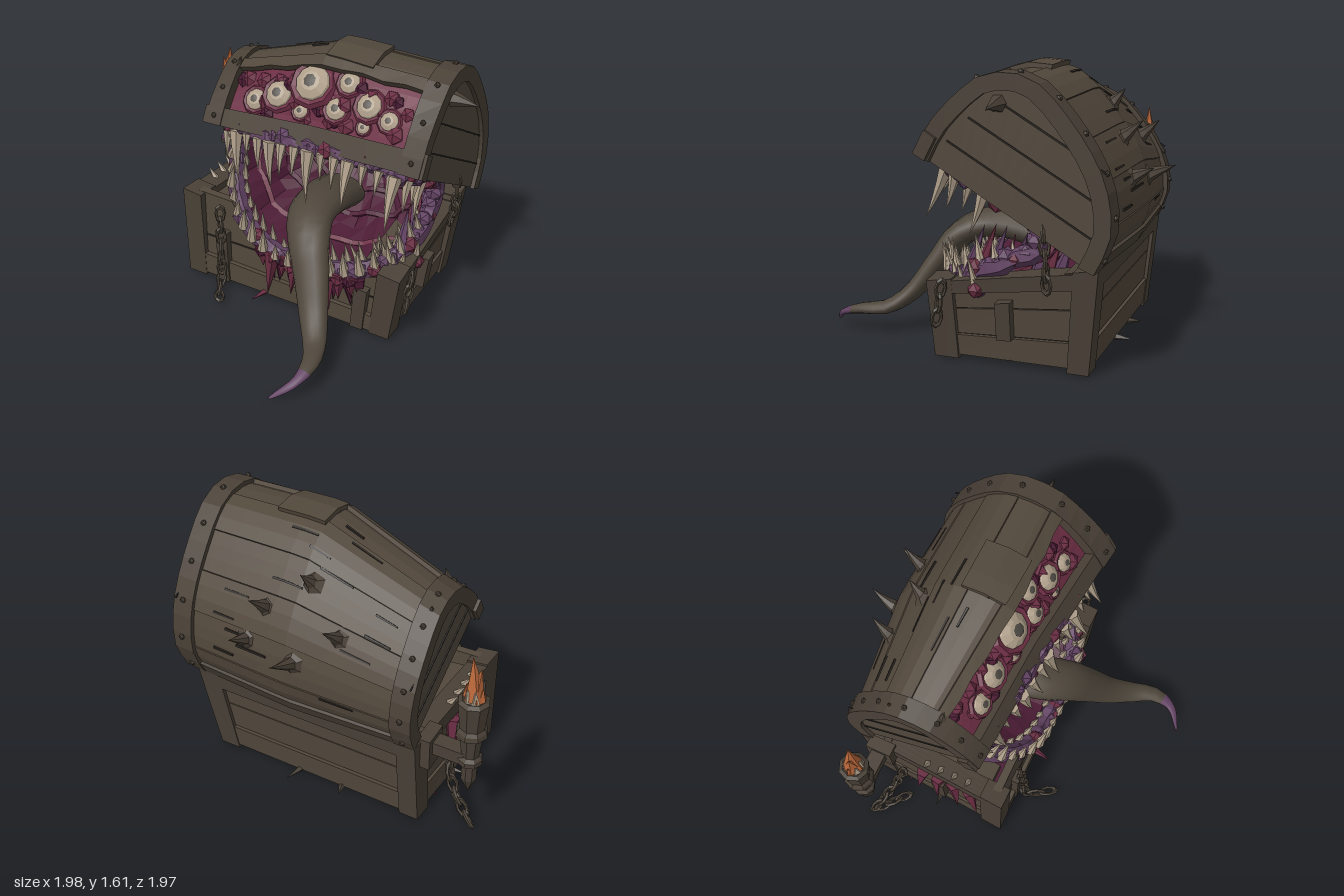
import * as THREE from 'three';

const V = (x, y, z) => new THREE.Vector3(x, y, z);
const { clamp, lerp, smoothstep } = THREE.MathUtils;
const UP = V(0, 1, 0);
const curve = (pts, closed = false) => new THREE.CatmullRomCurve3(pts.map(p => V(...p)), closed);

export function createModel() {
  const root = new THREE.Group();
  root.name = 'monsterChest';
  const mat = (name, color, side = THREE.FrontSide) => Object.assign(new THREE.MeshStandardMaterial({ color, side }), { name });
  const wood = mat('wood', 0x52483c), trim = mat('darkTrim', 0x4a4137), seam = mat('seam', 0x2a2521);
  const flesh = mat('flesh', 0x6c2e44, THREE.DoubleSide), throat = mat('throat', 0x4c1c35, THREE.DoubleSide);
  const gum = mat('gum', 0x624263), bone = mat('bone', 0xb0a08b), pupil = mat('pupil', 0x504b45);
  const fire = mat('flame', 0xb9673a), tongueMat = mat('tongue', 0x4f473c);
  let seed = 11;
  const rnd = () => (seed = (seed * 16807) % 2147483647) / 2147483647;

  function add(name, geo, m, smooth = false) {
    const g = smooth || !geo.index ? geo : geo.toNonIndexed();
    g.computeVertexNormals();
    const mesh = new THREE.Mesh(g, m);
    mesh.name = name;
    root.add(mesh);
    return mesh;
  }
  // move every vertex of a geometry by a rule
  function warp(geo, fn) {
    const p = geo.attributes.position, v = V(0, 0, 0);
    for (let i = 0; i < p.count; i++) p.setXYZ(i, ...fn(v.fromBufferAttribute(p, i)).toArray());
    return geo;
  }
  function spike(name, base, dir, len, r, m, sides = 5, bend = 0) {
    const s = add(name, warp(new THREE.ConeGeometry(r, len, sides, 3).translate(0, len / 2, 0),
      v => V(v.x + bend * len * (v.y / len) ** 2, v.y, v.z)), m);
    s.position.copy(base);
    s.quaternion.setFromUnitVectors(UP, dir.clone().normalize());
  }
  const lump = (name, pos, r, m) => add(name, new THREE.IcosahedronGeometry(r, 0), m).position.copy(pos);

  // ---- chest base: boxes flared and lifted by one rule ----
  const flare = v => {
    const f = v.y / 0.55, fz = clamp((v.z + 0.7) / 0.9, 0, 1), dz = v.z + 0.24;
    return V(v.x * (v.x > 0 ? 1 + 0.1 * f : lerp(0.9, 1, fz)), v.y * lerp(1.26, 1.12 - 0.26 * v.x, fz),
      -0.24 + dz * (1 + (dz < 0 ? 0.16 : 0.05) * f));
  };
  const baseBox = (name, x0, x1, y0, y1, z0, z1, m = wood) =>
    add(name, warp(new THREE.BoxGeometry(x1 - x0, y1 - y0, z1 - z0, 4, 1, 2)
      .translate((x0 + x1) / 2, (y0 + y1) / 2, (z0 + z1) / 2), flare), m);
  baseBox('floor', -0.68, 0.68, 0.015, 0.05, -0.64, 0.17, trim);
  baseBox('innerFlesh', -0.64, 0.64, 0.05, 0.28, -0.6, 0.12, throat);
  const rows = [[0.02, 0.14], [0.145, 0.29], [0.295, 0.41]];
  rows.forEach(([a, b], i) => baseBox('backPlank', -0.66, 0.66, a, b, i ? -0.66 : -0.675, -0.6));
  baseBox('backRim', -0.7, 0.7, 0.39, 0.47, -0.68, -0.52, trim);
  for (const s of [-1, 1]) {
    const sideBox = (name, a, b, ...rest) => baseBox(name, Math.min(s * a, s * b), Math.max(s * a, s * b), ...rest);
    rows.forEach(([a, b], i) => sideBox('sidePlank', 0.6, i ? 0.68 : 0.695, a, b, -0.62, 0.14));
    sideBox('sideSeam', 0.59, 0.672, 0.03, 0.4, -0.6, 0.12, seam);
    sideBox('sideRim', 0.58, 0.71, 0.39, 0.465, -0.67, 0.19, trim);
    sideBox('innerShelf', 0.46, 0.62, 0.36, 0.43, -0.6, 0.08);
    for (const [z0, z1] of [[0.06, 0.2], [-0.68, -0.56]]) sideBox('cornerPost', 0.58, 0.71, 0, 0.475, z0, z1, trim);
    sideBox('sideClasp', 0.67, 0.735, 0.14, 0.34, -0.26, -0.18, trim);
  }
  // front wall bitten away in the middle
  const bite = [[-0.62, 0.02], [0.62, 0.02], [0.68, 0.42], [0.56, 0.38], [0.42, 0.33], [0.3, 0.29], [0.12, 0.31],
    [-0.08, 0.33], [-0.2, 0.41], [-0.3, 0.46], [-0.38, 0.6], [-0.66, 0.61]];
  add('frontWall', new THREE.ExtrudeGeometry(new THREE.Shape(bite.map(p => new THREE.Vector2(...p))),
    { depth: 0.05, bevelEnabled: false }).translate(0, 0, 0.125), wood);
  baseBox('frontBottomBoard', -0.61, 0.61, 0.015, 0.13, 0.12, 0.198);
  for (const [x0, x1, y] of [[-0.58, -0.22, 0.3], [0.34, 0.62, 0.25]])
    add('frontSeam', new THREE.BoxGeometry(x1 - x0, 0.009, 0.008).translate((x0 + x1) / 2, y, 0.177), seam);
  for (const x of [-0.44, 0.5]) baseBox('frontStrap', x - 0.04, x + 0.04, 0.01, 0.31, 0.12, 0.21, trim);
  // splintered shards around the foot
  for (let i = 0; i < 14; i++) {
    const a = i / 14 * Math.PI * 2, d = V(Math.cos(a), 0.02, Math.sin(a));
    spike('footShard', V(d.x * 0.62, 0.025, -0.24 + d.z * 0.42), d, 0.09 + 0.07 * rnd(), 0.025, i % 4 ? trim : flesh, 4);
  }

  // ---- lid: an arched profile scaled about the hinge ----
  const prof = curve([[0, 1.135, 0.2], [0, 1.28, 0.12], [0, 1.42, -0.01], [0, 1.53, -0.16], [0, 1.525, -0.38],
    [0, 1.31, -0.6], [0, 1.05, -0.75], [0, 0.8, -0.78], [0, 0.61, -0.7]]);
  const tent = x => x < 0.12 ? clamp((x + 0.6) / 0.72, 0, 1) : clamp((0.85 - x) / 0.73, 0, 1);
  function lid(x, t, h = 0) {
    t = clamp(t, 0, 1);
    const p = prof.getPointAt(t), d = prof.getTangentAt(t), b = tent(x);
    const s = 0.76 + 0.24 * (x + 0.62) / 1.44 + 0.14 * b * smoothstep(t, 0.06, 0.26);
    const lean = 0.05 * clamp((0.1 - x) / 0.72, 0, 1) * (1 - t);
    return V(x, 0.6 + (p.y - 0.6) * s - d.z * h, -0.73 + (p.z + 0.73) * s + d.y * h - 0.05 * b * t + lean);
  }
  const lidNormal = (x, t) => lid(x, t, 1).sub(lid(x, t, 0)).normalize();
  const lidPart = (name, x0, x1, t0, t1, h0, h1, m, nx = 1, nt = 1, rough = 0) =>
    add(name, warp(new THREE.BoxGeometry(1, 1, 1, nx, 1, nt), v => lid(lerp(x0, x1, v.x + 0.5),
      lerp(t0 + rough * Math.sin(v.x * 37), t1, 0.5 - v.z), lerp(h0, h1, v.y + 0.5))), m);
  for (let i = 0; i < 6; i++)
    lidPart('lidPlank', -0.6, 0.8, 0.262 + 0.123 * i, 0.3835 + 0.123 * i, -0.03, 0.012 + 0.006 * (i % 2), wood, 12, 3);
  lidPart('lidLining', -0.59, 0.79, 0.29, 1, -0.05, -0.015, seam, 10, 14);
  lidPart('peakBoard', -0.54, 0.74, 0.247, 0.285, -0.015, 0.035, wood, 10, 1, 0.004);
  lidPart('peakSplinter', 0.1, 0.4, 0.275, 0.4, 0, 0.042, wood, 3, 2, 0.01);
  lidPart('frontLip', -0.66, 0.87, 0, 0.075, -0.04, 0.035, trim, 8, 1, 0.004);
  lidPart('eyeBed', -0.53, 0.73, 0.05, 0.28, -0.07, -0.03, flesh, 12, 5);
  lidPart('hingeBoard', -0.6, 0.8, 0.95, 1, -0.03, 0.035, trim, 8, 1);
  for (let i = 0; i < 16; i++) {
    const x = -0.46 + 0.95 * rnd(), t = 0.32 + 0.6 * i / 16;
    lidPart('woodCrack', x, x + 0.1 + 0.12 * rnd(), t, t + 0.006, 0.01, 0.021, seam, 2, 1, 0.003);
  }
  for (const [x0, x1, xc] of [[-0.64, -0.52, -0.6], [0.72, 0.85, 0.81]]) {
    lidPart('lidBand', x0, x1, 0, 1, -0.05, 0.04, trim, 1, 18);
    // end panel between the arch and its chord, with plank seams
    const a = lid(xc, 0), b = lid(xc, 1), along = a.clone().sub(b).normalize(), len = a.distanceTo(b);
    add('lidEnd', warp(new THREE.BoxGeometry(0.03, 1, 1, 1, 1, 18), v => v.y > 0
      ? lid(xc + v.x, 0.5 - v.z, -0.01) : a.clone().lerp(b, 0.5 - v.z).setX(xc + v.x)), wood);
    [0.15, 0.32, 0.48].forEach((h, i) => {
      const s = add('endSeam', new THREE.BoxGeometry(0.006, 0.009, len * [0.9, 0.82, 0.62][i]), seam);
      s.position.copy(a).lerp(b, 0.52).addScaledVector(V(0, along.z, -along.y), h * len / 1.05).setX(xc + Math.sign(xc) * 0.018);
      s.rotation.x = -Math.atan2(along.y, along.z);
    });
    for (let i = 0; i < 9; i++) lump('rivet', lid((x0 + x1) / 2, 0.04 + i * 0.115, 0.042), 0.018, trim);
  }
  // horns on the back and ends
  for (const [x, t, l] of [[0.06, 0.8, 0.19], [0.36, 0.78, 0.15], [-0.17, 0.67, 0.17], [0.05, 0.56, 0.13],
    [0.27, 0.67, 0.17]]) {
    spike('backHorn', lid(x, t), lidNormal(x, t).add(V(0, 0.25, 0)), l, 0.045, trim, 6, 0.15);
    spike('hornFoot', lid(x, t), lidNormal(x, t), 0.05, 0.075, trim, 6);
  }
  spike('endHorn', V(0.82, 1.43, -0.22), V(1, 0.02, 0), 0.17, 0.05, trim, 6, 0.1);
  spike('leftHorn', lid(-0.56, 0.25), V(0.4, 1, 0.1), 0.11, 0.035, trim);
  spike('leftHorn', lid(-0.58, 0.45), V(-0.2, 1, -0.2), 0.07, 0.03, trim);

  // ---- eyes ----
  for (const [x, y, r] of [[0.05, 1.41, 0.115], [0.28, 1.46, 0.068], [0.43, 1.38, 0.08], [0.57, 1.34, 0.058],
    [0.23, 1.31, 0.07], [-0.18, 1.28, 0.088], [-0.34, 1.21, 0.07], [-0.01, 1.235, 0.05], [0.42, 1.27, 0.04]]) {
    let t = 0.05;
    while (t < 0.23 && lid(x, t).y < y) t += 0.005;
    const eye = new THREE.Group();
    eye.name = 'eye';
    eye.add(add('eyeball', new THREE.SphereGeometry(r, 10, 6).scale(1, 0.6, 1), bone),
      add('pupil', new THREE.SphereGeometry(r * 1.03, 7, 3, 0, Math.PI * 2, 0, 0.33).scale(1, 0.61, 1), pupil),
      add('socket', new THREE.TorusGeometry(r * 1.08, r * 0.26, 5, 9).rotateX(Math.PI / 2), flesh));
    eye.position.copy(lid(x, t, -0.025));
    eye.quaternion.setFromUnitVectors(UP, lidNormal(x, t).add(V(0, 0, 0.2)).normalize());
    root.add(eye);
  }
  for (let i = 0; i < 30; i++)
    lump('eyeFlesh', lid(-0.48 + 1.14 * i / 29, 0.09 + 0.13 * rnd(), -0.045), 0.04 + 0.02 * rnd(), i % 3 ? flesh : throat);

  // ---- mouth: a closed rim drawn back into a throat ----
  const rim = curve([[-0.5, 0.98, -0.04], [-0.2, 1.04, 0.04], [0.15, 1.08, 0.08], [0.5, 1.1, 0.11], [0.7, 1.05, 0.05],
    [0.71, 0.88, -0.3], [0.69, 0.7, -0.42], [0.7, 0.52, -0.1], [0.57, 0.43, 0.12], [0.3, 0.36, 0.19], [0, 0.35, 0.2],
    [-0.25, 0.45, 0.17], [-0.41, 0.62, 0.07], [-0.49, 0.8, -0.06]], true);
  const inner = (u, q) => {
    const k = q * Math.PI / 2, p = rim.getPoint(u % 1);
    const c = Math.cos(k) * (1 + 0.06 * Math.sin(u * 75 - q * 9) * Math.sin(2 * k));
    return V(lerp(0.12, p.x, c), lerp(0.78, p.y, c), lerp(p.z, -0.62, Math.sin(k)));
  };
  add('throat', warp(new THREE.PlaneGeometry(1, 1, 40, 9), v => inner(v.x + 0.5, 0.5 - v.y)), throat);
  for (const q of [0.22, 0.42, 0.6]) {
    const ring = new THREE.CatmullRomCurve3(Array.from({ length: 24 }, (_, i) => inner(i / 24, q)), true);
    add('throatFold', new THREE.TubeGeometry(ring, 48, 0.022, 4, true), q < 0.3 ? flesh : throat);
  }
  add('gumRim', warp(new THREE.TubeGeometry(rim, 70, 0.055, 6, true),
    v => v.addScaledVector(V(0, 1, 0.5), 0.016 * Math.sin(v.x * 41) * Math.cos(v.z * 33))), gum);
  for (let i = 0; i < 64; i++)
    lump('gumLump', rim.getPointAt(i / 64).add(V(0.02 * rnd(), 0.08 * (rnd() - 0.5), 0.015)), 0.035 + 0.03 * rnd(), i % 4 ? gum : flesh);
  // cheeks bridging lid and base, and raw flesh on the right rim
  for (let i = 0; i < 9; i++)
    spike('cheekFold', V(0.67 - 0.01 * i, 0.46, 0.02 - 0.06 * i), V(0, 1, -0.35), 0.24 + 0.12 * rnd(), 0.05, i % 2 ? flesh : gum);
  for (let i = 0; i < 14; i++) {
    const p = V(0.5 + 0.25 * rnd(), 0.41 + 0.04 * rnd(), 0.17 - 0.3 * rnd());
    lump('rimFlesh', p, 0.05, i % 3 ? flesh : gum);
    spike('strayTooth', p, V(rnd() - 0.6, 1.5, 0.3), 0.12 + 0.1 * rnd(), 0.028, bone);
  }
  // teeth
  for (let i = 0; i < 44; i++) {
    const p = rim.getPointAt(i / 44), top = p.y > 0.95, low = p.y < 0.72, inward = (0.12 - p.x) * 0.3;
    if (!top && p.x > 0.5 && p.y > 0.6) continue;
    const dir = top ? V(inward * 0.4, -1, 0.2 + 0.25 * rnd()) : V(inward, low ? 1 : 0.5, 0.2);
    const len = top ? (i % 3 === 1 ? 0.26 + 0.07 * rnd() : 0.13 + 0.08 * rnd()) : 0.12 + 0.1 * rnd();
    p.z += 0.05;
    spike(top ? 'upperTooth' : 'lowerTooth', p, dir, len, 0.016 + len * 0.09, bone, 6, 0.1);
    if (!top) spike('innerTooth', V(p.x + inward * 0.25, p.y + 0.02, p.z - 0.09), dir, len * 0.8, 0.025, bone);
  }
  // flesh spilling over the front wall and the left side
  [-0.14, 0.34, 0.18, 0.28, 0.22, 0.35, 0.3, 0.2, 0.15].forEach((l, i) => {
    const x = -0.14 + 0.075 * i;
    spike('drip', V(x, 0.38, 0.215), V((rnd() - 0.5) * 0.25, -1, 0.03), Math.abs(l), 0.055, flesh);
    spike('innerDrip', V(x + 0.035, 0.36, 0.19), V((rnd() - 0.5) * 0.4, -1, 0), 0.22, 0.05, throat);
    lump('lipFlesh', V(x, 0.33 + 0.03 * rnd(), 0.22), 0.05, i % 2 ? flesh : throat);
  });
  for (let i = 0; i < 4; i++) {
    spike('sideDrip', V(-0.67, 0.5, -0.32 + 0.1 * i), V(-0.08, -1, 0.1 * (i - 1.5)), 0.26 + 0.16 * rnd(), 0.045, flesh);
    spike('sideTooth', V(-0.62, 0.56, -0.3 + 0.09 * i), V(-0.7, 1, 0), 0.12, 0.03, bone);
  }

  // ---- tongue ----
  const path = curve([[0.06, 0.52, -0.4], [0.1, 0.62, -0.12], [0.13, 0.635, 0.1], [0.2, 0.57, 0.25], [0.28, 0.42, 0.36],
    [0.37, 0.24, 0.49], [0.45, 0.15, 0.62], [0.5, 0.14, 0.76], [0.48, 0.1, 0.89], [0.37, 0.01, 0.99]]);
  const sweep = (name, t0, t1, m) => add(name, warp(new THREE.CylinderGeometry(1, 1, 1, 14, 24, true), v => {
    const t = lerp(t0, t1, v.y + 0.5), c = path.getPointAt(t), T = path.getTangentAt(t);
    const S = V(1, 0, 0).addScaledVector(T, -T.x).normalize(), B = S.clone().cross(T);
    const w = lerp(0.165, 0.035, Math.min(t * 1.12, 1) ** 1.5) * (t > 0.85 ? Math.sqrt((1.0005 - t) / 0.15) : 1);
    return c.addScaledVector(S, v.x * w).addScaledVector(B, v.z * w * 0.62);
  }), m, true);
  sweep('tongue', 0, 0.86, tongueMat);
  sweep('tongueTip', 0.86, 1, gum);

  // ---- torch on its bracket ----
  const torch = [[0.005, 0.3], [0.045, 0.4], [0.045, 0.51], [0.07, 0.52], [0.07, 0.55], [0.05, 0.57], [0.065, 0.7],
    [0.09, 0.72], [0.085, 0.75], [0.07, 0.77], [0.088, 0.94], [0.065, 0.955], [0.001, 0.93]];
  add('torch', new THREE.LatheGeometry(torch.map(p => new THREE.Vector2(...p)), 8), trim).position.set(-0.9, 0, -0.6);
  add('torchBracket', new THREE.BoxGeometry(0.26, 0.08, 0.09).translate(-0.75, 0.55, -0.6), trim);
  add('bracketPlate', new THREE.BoxGeometry(0.08, 0.2, 0.16).translate(-0.66, 0.52, -0.6), trim);
  for (let i = 0; i < 6; i++) {
    const d = V(Math.cos(i * 1.047), 0, Math.sin(i * 1.047));
    spike('candleStub', V(-0.9, 0.94, -0.6).addScaledVector(d, 0.035), d.setY(8), 0.1, 0.032, i % 3 ? bone : fire, 4);
  }
  spike('flame', V(-0.9, 0.96, -0.6), V(0.02, 1, 0), 0.26, 0.06, fire, 5, 0.06);
  spike('flameSide', V(-0.9, 0.98, -0.6), V(-0.15, 1, 0.1), 0.17, 0.05, fire, 5);

  // ---- chains ----
  for (const pts of [
    [[-0.71, 0.4, -0.45], [-0.76, 0.22, -0.5], [-0.85, 0.1, -0.55], [-0.92, 0.03, -0.58], [-0.78, 0.03, -0.45]],
    [[-0.44, 0.52, 0.22], [-0.43, 0.25, 0.24], [-0.43, 0.06, 0.25], [-0.4, 0.03, 0.32], [-0.36, 0.03, 0.38]],
    [[0.8, 0.85, -0.45], [0.81, 0.65, -0.47], [0.79, 0.5, -0.47]], [[0.8, 0.42, 0.12], [0.79, 0.25, 0.15]]]) {
    const c = curve(pts), n = Math.round(c.getLength() / 0.075);
    for (let i = 0; i <= n; i++) {
      const l = add('chainLink', new THREE.TorusGeometry(0.032, 0.012, 5, 8).scale(0.8, 1.5, 1).rotateY(i % 2 * 1.4 + 0.3), trim);
      l.position.copy(c.getPointAt(i / n));
      l.quaternion.setFromUnitVectors(UP, c.getTangentAt(i / n));
    }
  }
  return root;
}
